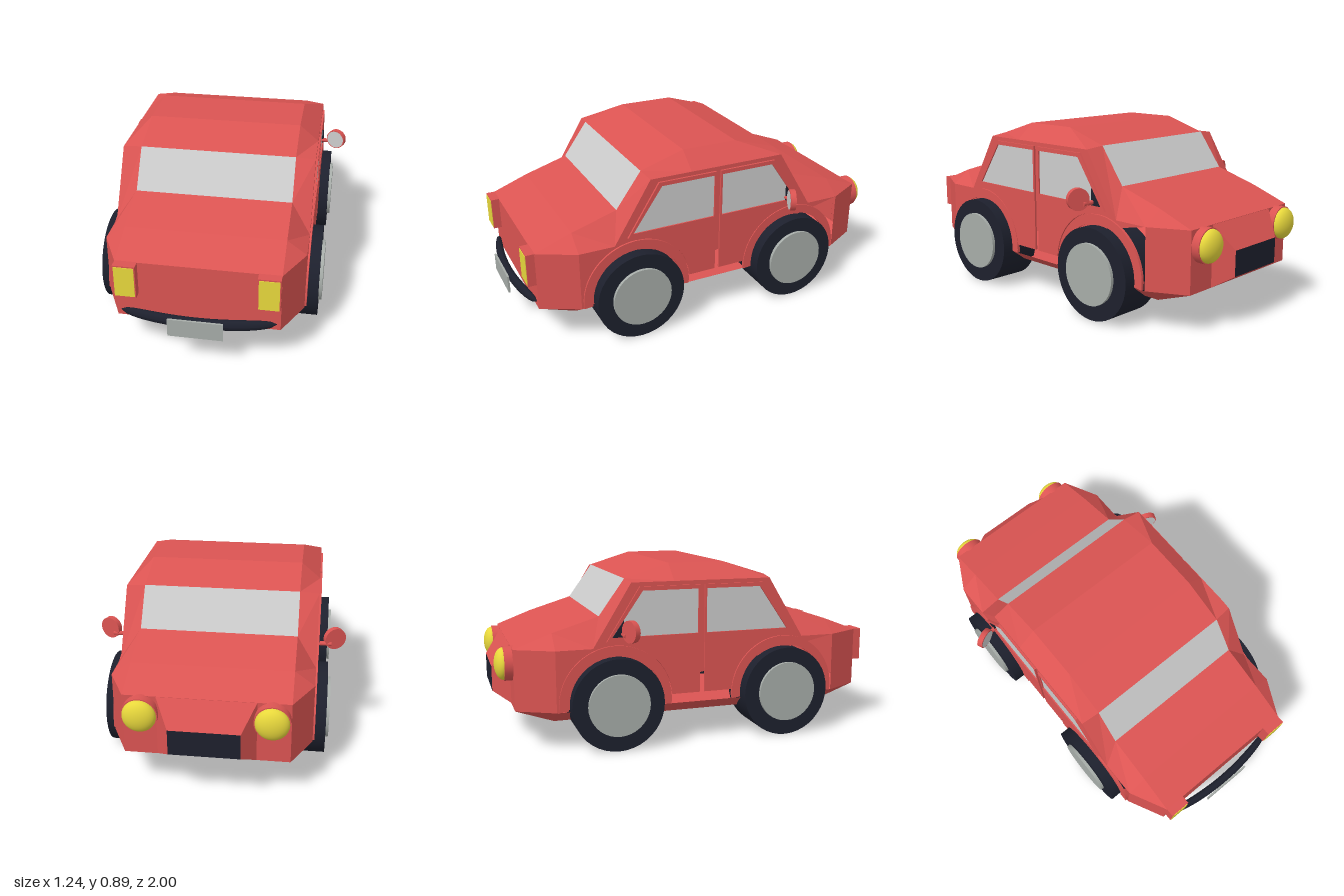
import * as THREE from 'three';

const mat = (color, flat = false) => new THREE.MeshStandardMaterial({ color, flatShading: flat, side: THREE.DoubleSide });

export function createModel() {
  const car = new THREE.Group();
  const red = mat(0xdb5452, true), redSmooth = mat(0xdb5452), dark = mat(0x1d202d);
  const grey = mat(0xcccccc), hubGrey = mat(0xa6aca8), yellow = mat(0xe8d83c);

  const add = (name, geo, material, x = 0, y = 0, z = 0) => {
    const m = new THREE.Mesh(geo, material);
    m.name = name;
    m.position.set(x, y, z);
    car.add(m);
    return m;
  };
  const quads = (list) => {
    const pos = [];
    for (const [a, b, c, d] of list) pos.push(...a, ...b, ...c, ...a, ...c, ...d);
    const g = new THREE.BufferGeometry();
    g.setAttribute('position', new THREE.Float32BufferAttribute(pos, 3));
    g.computeVertexNormals();
    return g;
  };
  const shapeOf = (pts) => new THREE.Shape(pts.map(([u, v]) => new THREE.Vector2(u, v)));
  // Panel drawn in (-z, y), placed on both flanks between x0 and x0 + depth
  const flankPanels = (name, shape, x0, depth, material) => {
    for (const s of [1, -1]) {
      const g = new THREE.ExtrudeGeometry(shape, { depth, bevelEnabled: false, curveSegments: 24 });
      g.rotateY(Math.PI / 2);
      add(name, g, material, s > 0 ? x0 : -x0 - depth);
    }
  };

  // Body: centre profile and flank profile (z, y), mirrored end to end
  const wi = 0.385, wo = 0.48;
  const halfIn = [[0.73, 0.135], [0.915, 0.2], [0.915, 0.5], [0.73, 0.57], [0.5, 0.64], [0.37, 0.82], [0.145, 0.89]];
  const halfOut = [[0.73, 0.2], [0.73, 0.2], [0.73, 0.5], [0.73, 0.5], [0.55, 0.5], [0.36, 0.81], [0.145, 0.81]];
  const loop = (half) => [...half, ...half.slice().reverse().map(([z, y]) => [-z, y])];
  const inner = loop(halfIn), outer = loop(halfOut), n = inner.length;
  const rows = [[-wo, outer], [-wi, inner], [wi, inner], [wo, outer]];
  const bodyQuads = [], glassQuads = [];
  for (let i = 0; i < n; i++) {
    const j = (i + 1) % n;
    for (let k = 0; k < 3; k++) {
      const [xa, A] = rows[k], [xb, B] = rows[k + 1];
      const p = (x, [z, y]) => [x, y, z];
      const q = [p(xa, A[i]), p(xb, B[i]), p(xb, B[j]), p(xa, A[j])];
      const isScreen = k === 1 && (i === 4 || i === n - 6);
      (isScreen ? glassQuads : bodyQuads).push(q);
    }
  }
  add('bodyShell', quads(bodyQuads), red);
  add('windscreens', quads(glassQuads), grey);

  // Flat flanks closing the shell
  const flank = shapeOf(outer.filter((p, i) => i === 0 || p[0] !== outer[i - 1][0] || p[1] !== outer[i - 1][1])
    .slice(0, -1).map(([z, y]) => [-z, y]));
  for (const s of [1, -1]) {
    const g = new THREE.ShapeGeometry(flank);
    g.rotateY(s * Math.PI / 2);
    add('flank', g, red, s * wo);
  }

  // Doors with window openings and glass, two per side
  for (const s of [1, -1]) {
    const side = (pts) => pts.map(([u, y]) => [-s * u, y]);
    const arc = [];
    for (let i = 0; i <= 10; i++) {
      const a = THREE.MathUtils.degToRad(176 - i * 8.6);
      arc.push([0.44 + 0.285 * Math.cos(a), 0.23 + 0.285 * Math.sin(a)]);
    }
    const win = side([[0.022, 0.55], [0.458, 0.55], [0.305, 0.77], [0.022, 0.77]]);
    const door = shapeOf(side([[0.012, 0.25], ...arc, [0.485, 0.53], [0.32, 0.79], [0.012, 0.79]]));
    door.holes.push(new THREE.Path(win.map(([u, v]) => new THREE.Vector2(u, v))));
    flankPanels('door', door, 0.479, 0.011, red);
    flankPanels('sideWindow', shapeOf(win), 0.479, 0.004, grey);

    // Wheel arch trim
    const arch = new THREE.Shape();
    arch.absarc(-s * 0.44, 0.23, 0.28, -0.1, Math.PI + 0.1, false);
    arch.absarc(-s * 0.44, 0.23, 0.235, Math.PI + 0.1, -0.1, true);
    arch.closePath();
    flankPanels('wheelArch', arch, 0.475, 0.014, redSmooth);
  }
  flankPanels('mirrorMount', shapeOf([[0.4, 0.55], [0.455, 0.55], [0.4, 0.63]]), 0.48, 0.012, dark);

  for (const s of [1, -1]) {
    // Wheels and hubcaps
    for (const z of [0.44, -0.44]) {
      const tyre = new THREE.CylinderGeometry(0.228, 0.228, 0.22, 40);
      add('tyre', tyre.rotateZ(Math.PI / 2), dark, s * 0.43, 0.228, z);
      const hub = new THREE.CylinderGeometry(0.152, 0.152, 0.03, 36);
      add('hubcap', hub.rotateZ(Math.PI / 2), hubGrey, s * 0.541, 0.23, z);
    }

    // Door mirrors, angled inwards
    const mirror = new THREE.Group();
    mirror.name = 'doorMirror';
    const cup = new THREE.Mesh(new THREE.CylinderGeometry(0.054, 0.054, 0.028, 28).rotateX(Math.PI / 2), redSmooth);
    cup.name = 'mirrorHousing';
    const face = new THREE.Mesh(new THREE.CircleGeometry(0.049, 28), grey);
    face.name = 'mirrorGlass';
    face.position.z = 0.0155;
    mirror.add(cup, face);
    mirror.position.set(s * 0.565, 0.588, -0.385);
    mirror.rotation.y = -s * 0.4;
    car.add(mirror);
    const arm = new THREE.CylinderGeometry(0.011, 0.011, 0.07, 10);
    add('mirrorArm', arm.rotateZ(Math.PI / 2), redSmooth, s * 0.515, 0.565, -0.405);

    // Square lamps at +z
    add('lampHousing', new THREE.BoxGeometry(0.105, 0.168, 0.05), red, s * 0.332, 0.417, 0.932);
    add('squareLamp', new THREE.BoxGeometry(0.095, 0.155, 0.006), yellow, s * 0.332, 0.417, 0.957);

    // Round lamps at -z
    const ring = new THREE.CylinderGeometry(0.084, 0.084, 0.06, 32);
    add('roundLampHousing', ring.rotateX(Math.PI / 2), redSmooth, s * 0.3, 0.42, -0.925);
    const dome = new THREE.SphereGeometry(0.079, 28, 10, 0, Math.PI * 2, 0, Math.PI / 2);
    dome.rotateX(-Math.PI / 2).scale(1, 1, 0.55);
    add('roundLamp', dome, yellow, s * 0.3, 0.42, -0.955);
  }

  // Tapered nose with a dark grille
  const rect = (x, y0, y1, z) => [[-x, y0, z], [-x, y1, z], [x, y1, z], [x, y0, z]];
  const base = rect(0.23, 0.2, 0.5, -0.914), tip = rect(0.165, 0.255, 0.38, -1);
  add('nose', quads([0, 1, 2, 3].map((i) => [base[i], base[(i + 1) % 4], tip[(i + 1) % 4], tip[i]])), red);
  add('grille', quads([tip]), dark);

  // Curved bumper, thinning to its ends, with a plate
  const bumper = new THREE.CylinderGeometry(1, 1, 0.74, 16, 24).rotateZ(Math.PI / 2);
  const bp = bumper.attributes.position;
  for (let i = 0; i < bp.count; i++) {
    const t = bp.getX(i) / 0.37;
    const r = 0.028 * Math.pow(Math.max(0, 1 - Math.pow(Math.abs(t), 5)), 0.5);
    bp.setXYZ(i, bp.getX(i), bp.getY(i) * r, bp.getZ(i) * r * 0.75 - 0.05 * t * t);
  }
  bumper.computeVertexNormals();
  add('bumper', bumper, dark, 0, 0.233, 0.968);
  add('plate', new THREE.BoxGeometry(0.26, 0.092, 0.01), hubGrey, 0, 0.215, 0.994);

  return car;
}
